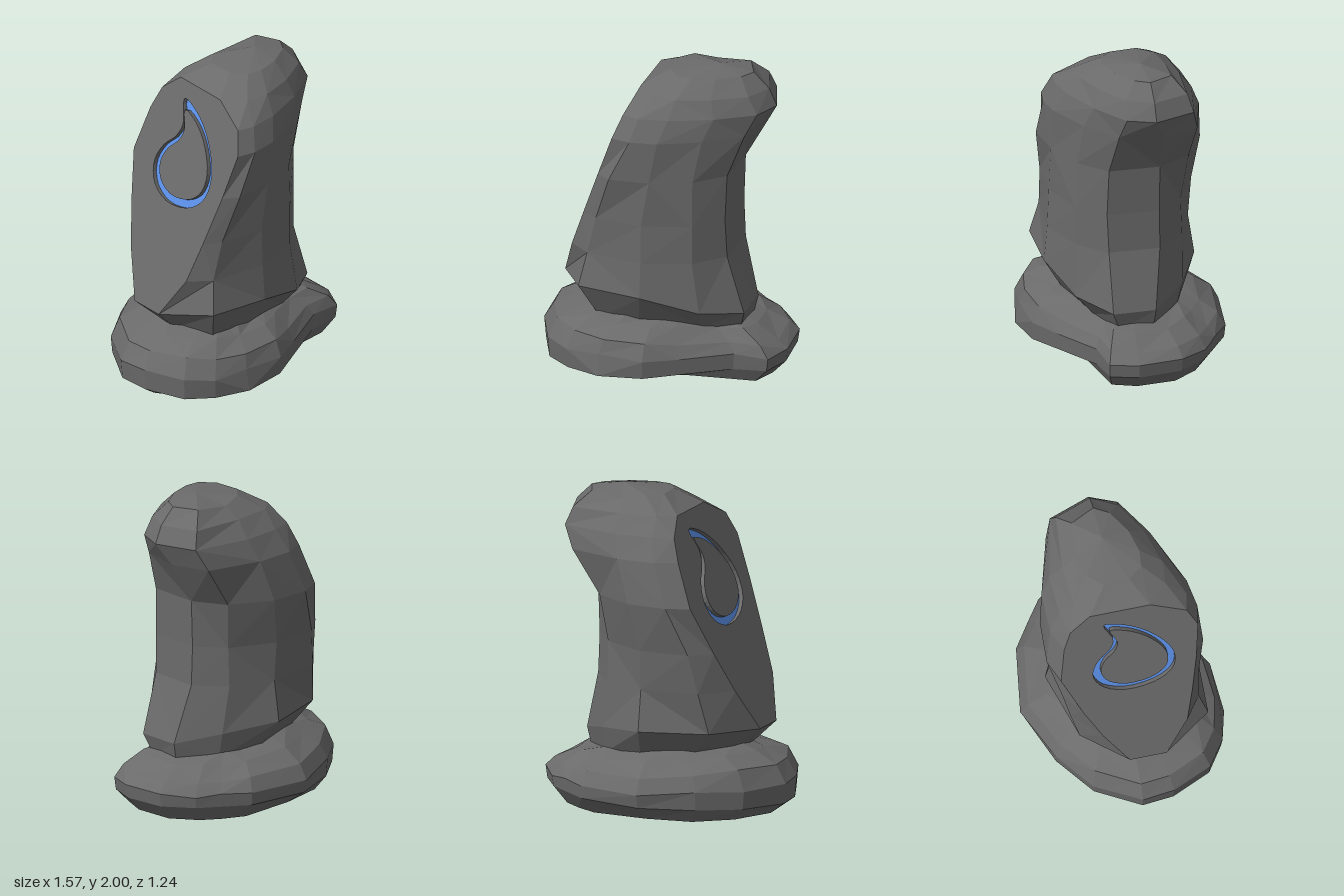
import * as THREE from 'three';

const stoneMat = new THREE.MeshStandardMaterial({ color: 0x6a6a6a, flatShading: true });
const blueMat = new THREE.MeshStandardMaterial({ color: 0x5a8ee6, flatShading: true, side: THREE.DoubleSide });

// Sloping carved face: a plane leaning towards +x as it rises
const SLOPE = 0.37, FOOT_X = -0.64, FOOT_Y = 0.54;
const LEN = Math.hypot(1, SLOPE);
const faceX = (y) => FOOT_X + (y - FOOT_Y) * SLOPE;

// Skins rings of [x, y, z] (listed bottom to top) and caps both ends.
// Where open(i) is true, the closing quad above ring i is left out.
function loft(rings, bottom, top, open = () => false) {
  const pos = [];
  const tri = (a, b, c) => pos.push(...a, ...b, ...c);
  const n = rings[0].length;
  for (let i = 0; i < rings.length - 1; i++) {
    for (let j = 0; j < n; j++) {
      if (j === n - 1 && open(i)) continue;
      const k = (j + 1) % n;
      const a = rings[i][j], b = rings[i][k], c = rings[i + 1][k], d = rings[i + 1][j];
      if ((i * 2 + j) % 3) { tri(a, d, b); tri(b, d, c); }
      else { tri(a, d, c); tri(a, c, b); }
    }
  }
  const first = rings[0], last = rings[rings.length - 1];
  for (let j = 0; j < n; j++) {
    const k = (j + 1) % n;
    tri(first[j], first[k], bottom);
    tri(last[j], top, last[k]);
  }
  const g = new THREE.BufferGeometry();
  g.setAttribute('position', new THREE.Float32BufferAttribute(pos, 3));
  g.computeVertexNormals();
  return g;
}

function addMesh(parent, name, geometry, material = stoneMat) {
  const m = new THREE.Mesh(geometry, material);
  m.name = name;
  parent.add(m);
  return m;
}

// Low boulder under the standing stone
function baseStone() {
  const outline = [
    [-0.79, 0], [-0.64, -0.28], [-0.4, -0.47], [-0.07, -0.62], [0.34, -0.56], [0.5, -0.45],
    [0.63, -0.36], [0.76, -0.18], [0.78, 0.1], [0.71, 0.27], [0.5, 0.3], [0.2, 0.47],
    [0, 0.585], [-0.28, 0.625], [-0.5, 0.56], [-0.66, 0.45], [-0.77, 0.2],
  ];
  // height, scale, z limits at back and front, fall towards +x, fall towards +z
  const levels = [
    [0, 0.87, -0.46, 0.3, 0, 0], [0.085, 0.985, -0.6, 0.62, -0.02, 0.025], [0.19, 1, -0.62, 0.59, 0.01, 0],
    [0.28, 0.92, -0.57, 0.56, 0.05, 0], [0.35, 0.74, -0.45, 0.44, 0.04, 0], [0.39, 0.58, -0.34, 0.36, 0.05, 0],
  ];
  const rings = levels.map(([y, s, zMin, zMax, fallX, fallZ], i) => outline.map(([x, z], j) => [
    x * s,
    y - x * fallX - z * fallZ + (i > 1 ? 0.01 * Math.sin(j * 2.3 + i * 1.7) : 0),
    Math.max(zMin, Math.min(z * s, zMax)),
  ]));
  return loft(rings, [0, 0, 0], [0, 0.39, 0]);
}

// Cross-sections of the standing stone: height, z of the carved face's back edge,
// points [x, z, own height] round the back, +x side and front, z of the face's front edge
const sections = [
  [0.54, -0.05, [[-0.42, -0.32], [0, -0.45], [0.33, -0.29, 0.5], [0.53, -0.07, 0.43], [0.53, 0.2, 0.43], [0.3, 0.38, 0.47], [-0.05, 0.49, 0.57], [-0.45, 0.48, 0.59]], 0.18],
  [0.8, -0.2, [[-0.37, -0.37], [0, -0.41], [0.28, -0.3], [0.43, -0.12], [0.42, 0.2], [0.25, 0.37], [-0.05, 0.47], [-0.41, 0.43]], 0.33],
  [1.05, -0.31, [[-0.32, -0.41], [0, -0.43], [0.28, -0.29], [0.42, -0.12], [0.41, 0.21], [0.25, 0.37], [-0.05, 0.46], [-0.35, 0.44]], 0.38],
  [1.35, -0.42, [[-0.2, -0.48], [0.06, -0.47], [0.32, -0.33], [0.43, -0.12], [0.42, 0.2], [0.25, 0.36], [0, 0.46], [-0.25, 0.49]], 0.43],
  [1.62, -0.38, [[-0.1, -0.44], [0.15, -0.44], [0.5, -0.34], [0.58, -0.1], [0.52, 0.16], [0.3, 0.33], [0.05, 0.45], [-0.12, 0.48]], 0.46],
  [1.76, -0.33, [[-0.05, -0.37], [0.2, -0.38], [0.57, -0.3], [0.66, -0.04], [0.59, 0.13], [0.36, 0.28], [0.1, 0.39], [-0.08, 0.42]], 0.4],
  [1.87, -0.2, [[-0.05, -0.28], [0.2, -0.3], [0.53, -0.27], [0.61, -0.04], [0.53, 0.12], [0.33, 0.24], [0.12, 0.31], [-0.03, 0.3]], 0.18],
];
const footRing = [[-0.4, -0.08, 0.37], [-0.26, -0.24, 0.36], [0.05, -0.31], [0.32, -0.25], [0.5, -0.06, 0.3],
  [0.49, 0.15, 0.3], [0.28, 0.26], [-0.1, 0.35], [-0.35, 0.35], [-0.46, 0.12, 0.36]];
const crownRing = [[0.0, -0.08], [0.08, -0.17], [0.22, -0.21, 1.94], [0.44, -0.19], [0.51, -0.04],
  [0.46, 0.05], [0.32, 0.14], [0.18, 0.18], [0.08, 0.17], [0.01, 0.08]];

function standingStone() {
  const at = (y) => ([x, z, own = y]) => [x, own, z];
  const rings = [
    footRing.map(at(0.33)),
    ...sections.map(([y, zBack, pts, zFront]) =>
      [[faceX(y), zBack], ...pts, [faceX(y), zFront]].map(at(y))),
    crownRing.map(at(1.965)),
  ];
  return loft(rings, [0, 0.32, 0], [0.3, 2, -0.03], (i) => i > 0 && i < sections.length);
}

// Carved face: flat slab with a comma-shaped groove and a blue groove floor
function carvedFace() {
  const group = new THREE.Group();
  group.name = 'carvedFace';
  const up = new THREE.Vector3(SLOPE, 1, 0).normalize();
  const out = new THREE.Vector3(-1, SLOPE, 0).normalize();
  group.applyMatrix4(new THREE.Matrix4()
    .makeBasis(new THREE.Vector3(0, 0, 1), up, out)
    .setPosition(FOOT_X, FOOT_Y, 0));

  const along = (y) => (y - FOOT_Y) * LEN;
  const edge = [
    ...sections.map(([y, , , zFront]) => new THREE.Vector2(zFront, along(y))),
    ...sections.map(([y, zBack]) => new THREE.Vector2(zBack, along(y))).reverse(),
  ];
  const curve = new THREE.CatmullRomCurve3([
    [-0.12, 1.31], [0.02, 1.27], [0.18, 1.14], [0.29, 0.95], [0.28, 0.8], [0.17, 0.7], [-0.03, 0.67],
    [-0.17, 0.74], [-0.22, 0.86], [-0.18, 0.98], [-0.1, 1.07], [-0.07, 1.16],
  ].map(([x, y]) => new THREE.Vector3(x, y, 0)), true);
  const outer = curve.getPoints(40).slice(0, 40).map((p) => new THREE.Vector2(p.x, p.y));
  const centre = new THREE.Vector2(0.06, 0.96);
  const inner = outer.map((p) => p.clone().sub(centre).multiplyScalar(0.82).add(centre));

  const depth = 0.035;
  const slab = new THREE.Shape(edge);
  slab.holes.push(new THREE.Path(outer));
  const extrude = { depth, bevelEnabled: false };
  addMesh(group, 'faceSlab', new THREE.ExtrudeGeometry(slab, extrude)).position.z = -depth;
  addMesh(group, 'runeIsland', new THREE.ExtrudeGeometry(new THREE.Shape(inner), extrude)).position.z = -depth;

  const band = new THREE.Shape(outer);
  band.holes.push(new THREE.Path(inner));
  addMesh(group, 'runeGlow', new THREE.ShapeGeometry(band), blueMat).position.z = -depth * 0.8;
  return group;
}

export function createModel() {
  const model = new THREE.Group();
  model.name = 'runeStone';
  addMesh(model, 'baseStone', baseStone());
  addMesh(model, 'standingStone', standingStone());
  model.add(carvedFace());
  return model;
}
